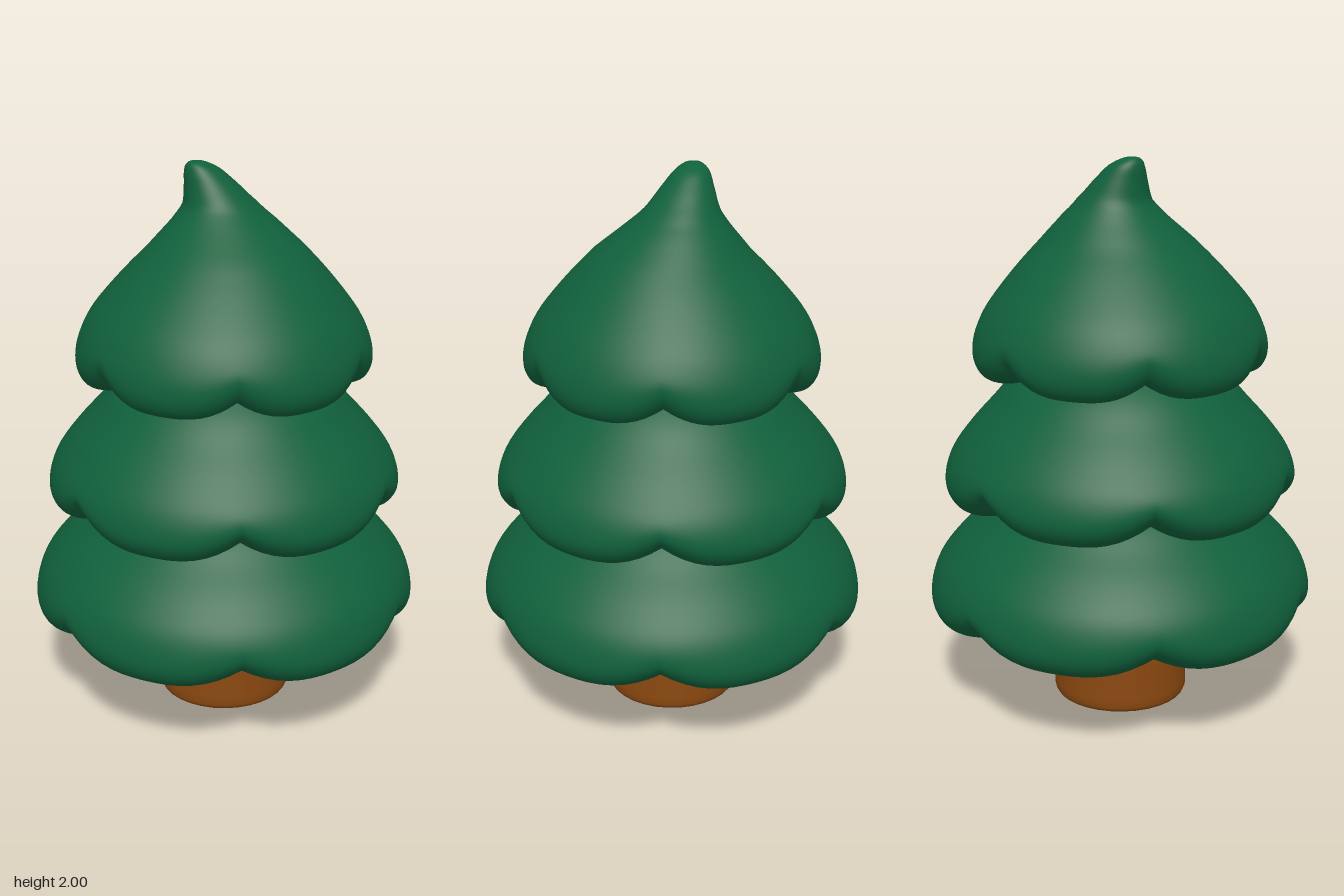
import * as THREE from 'three';
import { mergeVertices } from 'three/addons/utils/BufferGeometryUtils.js';

const green = new THREE.MeshStandardMaterial({ color: 0x10603c });
green.name = 'pine green';
const brown = new THREE.MeshStandardMaterial({ color: 0x8a4810 });
brown.name = 'bark brown';

// Smooth closed lathe from [radius, height] points, running from the underside up.
function turn(profile, steps, segments, deform) {
  const curve = new THREE.SplineCurve(profile.map(([r, y]) => new THREE.Vector2(r, y)));
  const points = curve.getPoints(steps);
  points.forEach((p) => { p.x = Math.max(p.x, 0); });
  let geo = new THREE.LatheGeometry(points, segments);
  geo.deleteAttribute('uv');
  geo.deleteAttribute('normal');
  geo = mergeVertices(geo, 1e-4);
  const pos = geo.attributes.position;
  const v = new THREE.Vector3();
  for (let i = 0; deform && i < pos.count; i++) {
    deform(v.fromBufferAttribute(pos, i));
    pos.setXYZ(i, v.x, v.y, v.z);
  }
  geo.computeVertexNormals();
  return geo;
}

// Six scallops round the hem: the notches between lobes are pulled up and slightly in.
function scallop(v, hem, radius, lift) {
  const r = Math.hypot(v.x, v.z);
  const notch = Math.pow(1 - Math.abs(Math.cos(3 * Math.atan2(v.x, v.z))), 1.6);
  const low = 1 - THREE.MathUtils.smoothstep(v.y, hem + 0.02, hem + 0.24);
  const outer = THREE.MathUtils.smoothstep(r, radius * 0.3, radius * 0.8);
  const k = notch * low * outer;
  v.y += lift * k;
  v.x *= 1 - 0.035 * k;
  v.z *= 1 - 0.035 * k;
}

// Sideways shift of the top tier's centre line by height: [y, x, z]
const bend = [
  [1.5, 0, 0], [1.7, 0.01, 0.0], [1.79, 0.015, -0.02], [1.85, 0.01, -0.035],
  [1.92, -0.02, -0.052], [1.97, -0.045, -0.065], [2.0, -0.068, -0.07],
];
function bendTip(v) {
  for (let i = 0; i < bend.length - 1; i++) {
    const [y0, x0, z0] = bend[i], [y1, x1, z1] = bend[i + 1];
    if (v.y >= y0 && (v.y < y1 || i === bend.length - 2)) {
      const t = Math.min((v.y - y0) / (y1 - y0), 1);
      v.x += x0 + (x1 - x0) * t;
      v.z += z0 + (z1 - z0) * t;
      return;
    }
  }
}

const tiers = [
  {
    name: 'bottomTier', hem: 0.295, radius: 0.7, lift: 0.06,
    profile: [[0, 0.35], [0.25, 0.342], [0.42, 0.305], [0.54, 0.295], [0.64, 0.322], [0.69, 0.37],
      [0.7, 0.44], [0.67, 0.535], [0.6, 0.625], [0.51, 0.71], [0.4, 0.81], [0.2, 0.92], [0, 0.95]],
  },
  {
    name: 'middleTier', hem: 0.745, radius: 0.635, lift: 0.07,
    profile: [[0, 0.8], [0.25, 0.79], [0.4, 0.757], [0.5, 0.745], [0.585, 0.765], [0.628, 0.81],
      [0.636, 0.87], [0.61, 0.95], [0.55, 1.035], [0.47, 1.125], [0.37, 1.23], [0.2, 1.34], [0, 1.38]],
  },
  {
    name: 'topTier', hem: 1.22, radius: 0.527, lift: 0.06, tip: true,
    profile: [[0, 1.27], [0.2, 1.26], [0.33, 1.232], [0.42, 1.22], [0.49, 1.237], [0.522, 1.28],
      [0.527, 1.34], [0.508, 1.41], [0.465, 1.49], [0.375, 1.6], [0.28, 1.7], [0.188, 1.79],
      [0.132, 1.85], [0.092, 1.92], [0.062, 1.97], [0.03, 1.995], [0, 2]],
  },
];

export function createModel() {
  const tree = new THREE.Group();
  tree.name = 'pineTree';

  // Stacked foliage tiers
  for (const { name, hem, radius, lift, profile, tip } of tiers) {
    const geo = turn(profile, 64, 96, (v) => {
      scallop(v, hem, radius, lift);
      if (tip) bendTip(v);
    });
    const tier = new THREE.Mesh(geo, green);
    tier.name = name;
    tree.add(tier);
  }

  // Trunk with a flat base and a small rounded bottom edge
  const trunkProfile = [[0, 0], [0.225, 0], [0.24, 0.005], [0.247, 0.02], [0.248, 0.05],
    [0.24, 0.25], [0.237, 0.42]].map(([r, y]) => new THREE.Vector2(r, y));
  const trunk = new THREE.Mesh(new THREE.LatheGeometry(trunkProfile, 32), brown);
  trunk.name = 'trunk';
  tree.add(trunk);

  return tree;
}
